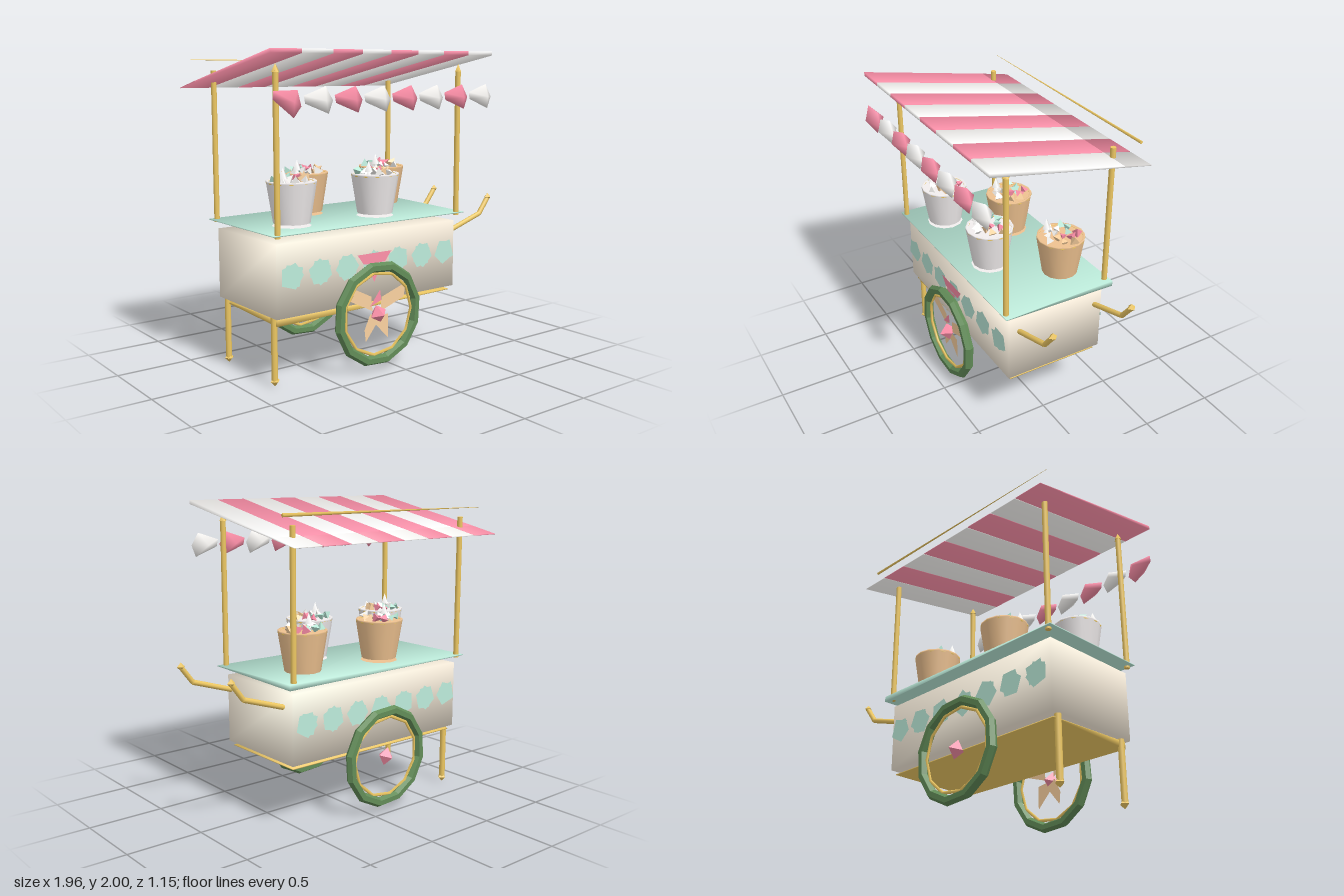
import * as THREE from 'three';
import { mergeVertices } from 'three/addons/utils/BufferGeometryUtils.js';
import { ConvexGeometry } from 'three/addons/geometries/ConvexGeometry.js';

const V = (x, y, z) => new THREE.Vector3(x, y, z);
const paint = (color, flat = false) =>
  new THREE.MeshStandardMaterial({ color, flatShading: flat, side: THREE.DoubleSide });

export function createModel() {
  const model = new THREE.Group();
  const gold = paint(0xefc963), pink = paint(0xff91aa), white = paint(0xfffdfa), teal = paint(0xbdecdb);
  const tan = paint(0xfbd2a0), cream = paint(0xfff4e2), green = paint(0x628c58, true);
  const tanBucket = paint(0xeec290), greyBucket = paint(0xf2eeee);

  let seed = 7;
  const rnd = () => (seed = (seed * 16807) % 2147483647) / 2147483647;

  function add(name, geometry, material, x = 0, y = 0, z = 0, parent = model) {
    const mesh = new THREE.Mesh(geometry, material);
    mesh.name = name;
    mesh.position.set(x, y, z);
    parent.add(mesh);
    return mesh;
  }
  // Box whose eight corners get a position and a soft normal from their signs
  function softBox(name, material, place, lean, x = 0) {
    const geo = new THREE.BoxGeometry(2, 2, 2);
    const p = geo.attributes.position;
    for (let i = 0; i < p.count; i++) {
      const s = [p.getX(i), p.getY(i), p.getZ(i)];
      const n = V(...lean(...s)).normalize();
      p.setXYZ(i, ...place(...s));
      geo.attributes.normal.setXYZ(i, n.x, n.y, n.z);
    }
    return add(name, geo, material, x);
  }
  // Thin sheet that is thick only at the corner (cx, cz)
  function sheet(name, x, w, z, d, y, cx, cz, t, material) {
    softBox(name, material,
      (sx, sy, sz) => [x + sx * w, y + sy * (sx === cx && sz === cz ? t : 0.003), z + sz * d],
      (sx, sy, sz) => [sx * 0.7, sy, sz * 0.7]);
  }
  // Straight bar between two points, optionally tapered
  function bar(name, a, b, r, material, rEnd = r, sides = 8) {
    const mesh = add(name, new THREE.CylinderGeometry(rEnd, r, a.distanceTo(b), sides), material);
    mesh.position.copy(a).lerp(b, 0.5);
    mesh.quaternion.setFromUnitVectors(V(0, 1, 0), b.clone().sub(a).normalize());
  }
  // Flat cut-out from [x, y] corners
  function flat(name, pts, z, material) {
    const shape = new THREE.Shape(pts.map(([x, y]) => new THREE.Vector2(x, y)));
    add(name, new THREE.ShapeGeometry(shape), material, 0, 0, z);
  }

  // Cart body, counter and floor frame
  softBox('cartBody', cream, (sx, sy, sz) => [-0.135 + sx * 0.705, 0.655 + sy * 0.225, -0.03 + sz * 0.345],
    (sx, sy, sz) => [sx, sy, sz]);
  sheet('counter', -0.13, 0.75, -0.03, 0.39, 0.937, 1, -1, 0.018, teal);
  sheet('floorFrame', -0.135, 0.685, -0.03, 0.32, 0.402, -1, 1, 0.023, gold);

  // Roof posts
  for (const x of [-0.84, 0.57]) {
    bar('frontPost', V(x, 0.92, 0.335), V(x, 1.88, 0.335), 0.018, gold);
    add('postTip', new THREE.ConeGeometry(0.027, 0.05, 4), gold, x, 1.897, 0.335);
    bar('backPost', V(x, 0.92, -0.39), V(x, 1.88, -0.39), 0.018, gold);
  }

  // Legs with small feet, and the two bent push handles
  for (const z of [0.25, -0.31]) {
    bar('leg', V(-0.82, 0.03, z), V(-0.82, 0.43, z), 0.02, gold);
    add('foot', new THREE.OctahedronGeometry(0.032), gold, -0.818, 0.034, z);
    const path = [V(0.59, 0.795, z), V(0.875, 0.888, z), V(0.96, 1.0, z)];
    bar('handleArm', path[0], path[1], 0.017, gold);
    bar('handleGrip', path[1], path[2], 0.017, gold);
    add('handleTip', new THREE.OctahedronGeometry(0.028), gold, 0.957, 0.998, z);
  }

  // Striped awning: panels sloping down to a thin back edge, with bunting in front
  const rim = [[-0.1, 0.03], [0.05, 0.08], [0.1, 0], [0.07, -0.075], [-0.09, -0.015]];
  for (let i = 0; i < 8; i++) {
    const mat = i % 2 ? white : pink;
    const x = -0.877 + i * 0.211;
    softBox('awningStripe', mat,
      (sx, sy, sz) => sz > 0 ? [sx * 0.102, sy > 0 ? 2.0 : 1.975, 0.51] : [sx * 0.102, sy > 0 ? 1.816 : 1.806, -0.38],
      (sx, sy, sz) => sy > 0 ? [sx * 0.4, 1, sz * 0.5] : [sx * 0.4, -0.5, 0.2 - sx], x);
    softBox('awningBackEdge', mat,
      (sx, sy, sz) => sz > 0 ? [sx * 0.102, sy > 0 ? 1.816 : 1.806, -0.38] : [sx * 0.102, 1.77 + sy * 0.002, -0.58],
      (sx, sy) => sy > 0 ? [sx * 0.3, 0.3, -1] : [sx * 0.4, -0.5, 0.2 - sx], x);

    const hull = new ConvexGeometry([...rim.map(([a, b]) => V(a, b, 0)), V(0.01, 0, 0.065), V(0.01, 0, -0.065)]);
    hull.deleteAttribute('normal');
    hull.deleteAttribute('uv');
    const dropGeo = mergeVertices(hull);
    dropGeo.computeVertexNormals();
    const drop = add('buntingDrop', dropGeo, mat, x, 1.713, 0.508);
    if (i === 0) drop.rotation.z = -0.3;
  }
  bar('ridgeRod', V(0.71, 1.945, -0.48), V(-0.95, 1.945, -0.48), 0.011, gold, 0.001, 4);

  // Buckets of sweets, grey in front and tan behind
  const sweets = [pink, white, teal, tan, white];
  [-0.615, -0.295, 0.03, 0.35].forEach((x, i) => {
    const bucket = new THREE.Group();
    const shell = i % 2 ? tanBucket : greyBucket;
    bucket.name = 'bucket';
    bucket.position.set(x, 0, i % 2 ? -0.195 : 0.14);
    model.add(bucket);
    const profile = [[0.115, 0.965], [0.155, 1.215], [0.155, 1.225], [0.14, 1.22]]
      .map(([r, y]) => new THREE.Vector2(r, y));
    add('bucketWall', new THREE.LatheGeometry(profile, 14), shell, 0, 0, 0, bucket);
    const discs = [['bucketBottom', 0.115, 0.965], ['bucketBase', 0.122, 0.948], ['bucketFill', 0.145, 1.216]];
    for (const [name, r, y] of discs)
      add(name, new THREE.CircleGeometry(r, 12), shell, 0, y, 0, bucket).rotation.x = -Math.PI / 2;
    const trim = add('goldTrim', new THREE.TorusGeometry(0.147, 0.009, 4, 12), gold, 0, 1.212, 0, bucket);
    trim.rotation.x = Math.PI / 2;
    for (let k = 0; k < 14; k++) {
      const a = k * 2.4, r = 0.032 * Math.sqrt(k + 0.5);
      const sweet = add('sweet', new THREE.TetrahedronGeometry(0.028 + rnd() * 0.014), sweets[k % 5],
        r * Math.cos(a), 1.228 + rnd() * 0.012, r * Math.sin(a), bucket);
      sweet.rotation.set(rnd() * 6, rnd() * 6, rnd() * 6);
    }
    add('tallSweet', new THREE.ConeGeometry(0.032, 0.07, 4), white, -0.09, 1.278, 0.05, bucket);
    add('tallSweetBase', new THREE.ConeGeometry(0.026, 0.05, 4), white, -0.09, 1.235, 0.05, bucket);
  });

  // Rosettes along both long sides: two overlapping polygons each
  for (const side of [1, -1]) {
    for (let i = 0; i < 7; i++) {
      const x = -0.74 + i * 0.202, z = side > 0 ? 0.328 : -0.39;
      const tilt = i * 0.35;
      const a = add('rosette', new THREE.CircleGeometry(0.085, 5), teal, x, 0.68, z);
      const b = add('rosetteLayer', new THREE.CircleGeometry(0.085, i % 3 ? 5 : 4), teal, x, 0.685, z + side * 0.012);
      a.rotation.z = tilt;
      b.rotation.z = tilt + 0.55;
    }
  }

  // Wheels: green tyre, gold inner rim and faceted hub
  for (const z of [0.388, -0.445]) {
    const wheel = new THREE.Group();
    wheel.name = 'wheel';
    wheel.position.set(-0.135, 0.367, z);
    model.add(wheel);
    const tyre = add('tyre', new THREE.TorusGeometry(0.307, 0.033, 6, 12), green, 0, 0, 0, wheel);
    tyre.rotation.z = 0.2;
    add('innerRim', new THREE.TorusGeometry(0.266, 0.011, 4, 11), gold, 0, 0, 0, wheel);
    const hub = add('hub', new THREE.OctahedronGeometry(0.06), pink, 0, 0, 0, wheel);
    hub.rotation.z = 0.3;
  }

  // Ribbon bow on the front wheel
  flat('bowLoopLeft', [[-0.17, 0.385], [-0.405, 0.505], [-0.35, 0.565], [-0.18, 0.48]], 0.372, tan);
  flat('bowLoopRight', [[-0.1, 0.375], [0.085, 0.44], [0.1, 0.53], [-0.1, 0.465]], 0.372, tan);
  flat('bowTails', [[-0.185, 0.365], [-0.23, 0.27], [-0.22, 0.19], [-0.14, 0.29], [-0.04, 0.19], [-0.04, 0.345]],
    0.368, tan);
  flat('bowKnot', [[-0.2, 0.42], [-0.11, 0.45], [-0.12, 0.52]], 0.385, pink);

  // Pink ornament above the front wheel
  flat('ornamentTop', [[-0.27, 0.75], [-0.22, 0.685], [-0.05, 0.685], [0, 0.75]], 0.348, pink);
  flat('ornamentPoint', [[-0.2, 0.685], [-0.14, 0.565], [-0.08, 0.685]], 0.352, pink);

  return model;
}
